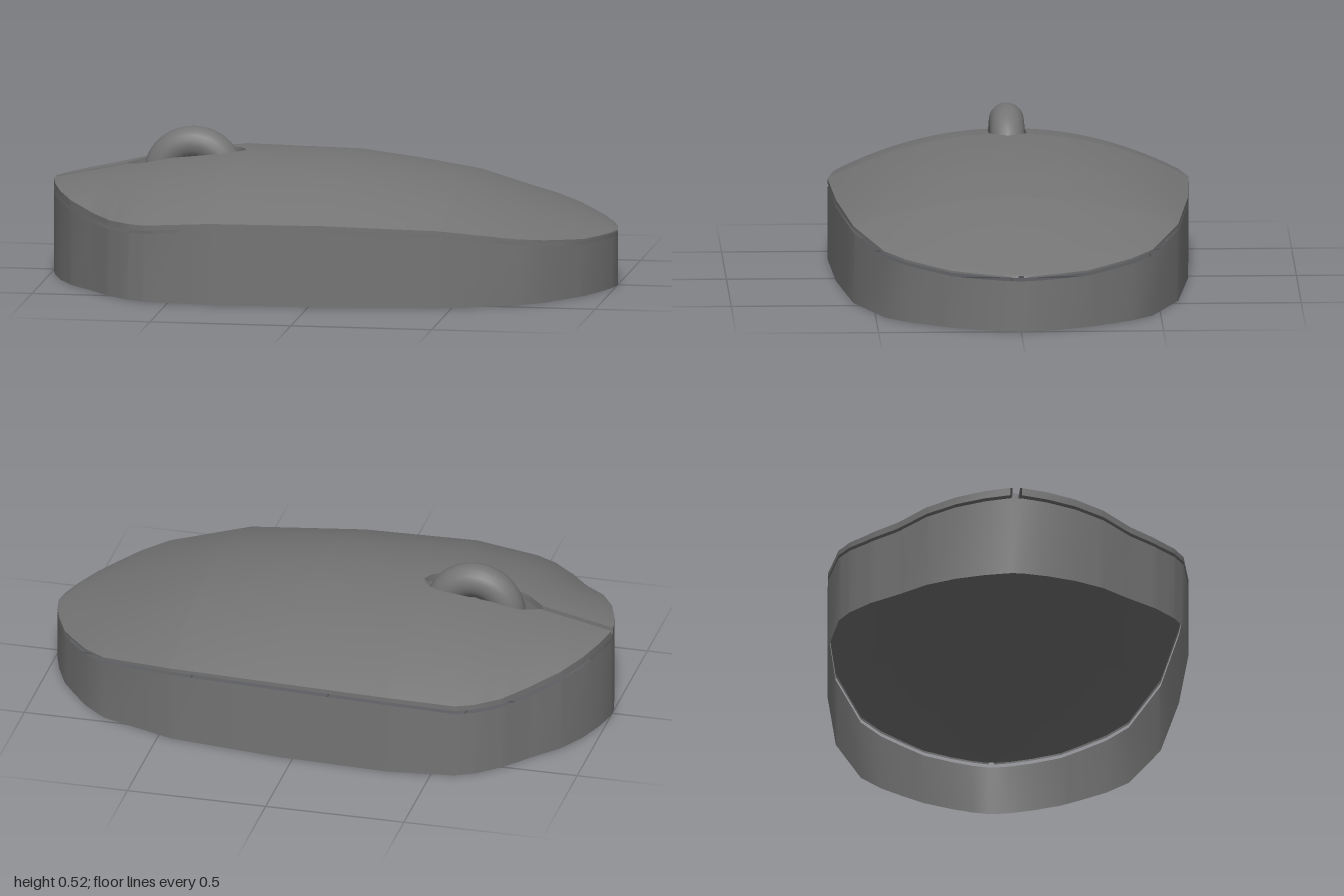
import * as THREE from 'three';
import { toCreasedNormals } from 'three/addons/utils/BufferGeometryUtils.js';

// Half width of the body along x
const OUTLINE = [[-1, 0.02], [-0.98, 0.11], [-0.945, 0.21], [-0.89, 0.31], [-0.81, 0.4], [-0.73, 0.5], [-0.65, 0.57],
  [-0.58, 0.605], [-0.35, 0.633], [0.05, 0.617], [0.45, 0.57], [0.72, 0.47], [0.805, 0.395], [0.87, 0.31],
  [0.92, 0.24], [0.965, 0.14], [0.99, 0.065], [1, 0.01]];
// Upper rim of the side wall along x
const RIM = [[-1, 0.29], [-0.9, 0.265], [-0.8, 0.243], [-0.72, 0.236], [-0.6, 0.24], [-0.35, 0.26], [0.05, 0.263],
  [0.45, 0.25], [0.72, 0.214], [0.92, 0.184], [1, 0.18]];
// Height of the cover along its middle
const CROWN = [[-1, 0.33], [-0.8, 0.372], [-0.58, 0.42], [-0.35, 0.445], [0.05, 0.438], [0.25, 0.412],
  [0.47, 0.373], [0.72, 0.29], [0.9, 0.232], [1, 0.2]];
// Height of the lip around the cover
const LIP = [[-1, 0.028], [-0.6, 0.018], [0.5, 0.012], [1, 0.006]];
// Half width of the slot and wheel opening
const SLOT = [[-1, 0.013], [-0.745, 0.013], [-0.685, 0.058], [-0.64, 0.066], [-0.385, 0.066], [-0.35, 0.05],
  [-0.33, 0.025], [-0.32, 0], [1, 0]];

// Straight interpolation in a table of [x, value]
function at(table, x) {
  for (let i = 1; i < table.length; i++) {
    const [x0, v0] = table[i - 1], [x1, v1] = table[i];
    if (x <= x1) return v0 + (v1 - v0) * (x - x0) / (x1 - x0);
  }
  return table[table.length - 1][1];
}

// Skin a grid of points, rows[i][j]
function addPatch(out, rows) {
  for (let i = 0; i + 1 < rows.length; i++) {
    for (let j = 0; j + 1 < rows[i].length; j++) {
      const a = rows[i][j], b = rows[i][j + 1], c = rows[i + 1][j], d = rows[i + 1][j + 1];
      out.push(...a, ...b, ...c, ...b, ...d, ...c);
    }
  }
}

function toGeometry(positions, crease) {
  const g = new THREE.BufferGeometry();
  g.setAttribute('position', new THREE.Float32BufferAttribute(positions, 3));
  return toCreasedNormals(g, crease);
}

export function createModel() {
  const model = new THREE.Group();
  model.name = 'computerMouse';
  const grey = new THREE.MeshStandardMaterial({ color: 0x747474, side: THREE.DoubleSide });
  grey.name = 'dark grey plastic';

  const xs = [...new Set([OUTLINE, RIM, CROWN, SLOT].flat().map(p => p[0]))].sort((a, b) => a - b);

  // Side wall, open above and below
  const wall = [];
  const wallRow = (x, side) => {
    const z = side * at(OUTLINE, x);
    return [[x, at(RIM, x), z], [x, 0, z]];
  };
  const loop = [...xs.map(x => wallRow(x, 1)), ...[...xs].reverse().map(x => wallRow(x, -1))];
  loop.push(loop[0]);
  addPatch(wall, loop);
  const base = new THREE.Mesh(toGeometry(wall, 0.5), grey);
  base.name = 'sideWall';
  model.add(base);

  // Domed cover in two halves, with lips turned down at the rim and the slot
  const STEPS = 14;
  const halfRow = (x, side) => {
    const w = at(OUTLINE, x), slot = Math.min(at(SLOT, x), w);
    const low = at(RIM, x) + 0.012, edge = low + at(LIP, x);
    const crown = Math.max(at(CROWN, x), edge);
    const row = [];
    for (let k = 0; k <= STEPS; k++) {
      const z = slot + (w - slot) * k / STEPS;
      row.push([x, edge + (crown - edge) * (1 - Math.pow(z / w, 2.1)), side * z]);
    }
    const inner = row[0];
    row.unshift([x, inner[1] - (slot > 0 ? 0.025 : 0), inner[2]]);
    row.push([x, low, side * w]);
    return side > 0 ? row : row.reverse();
  };
  const shell = [];
  for (const side of [-1, 1]) addPatch(shell, xs.map(x => halfRow(x, side)));
  const cover = new THREE.Mesh(toGeometry(shell, 0.6), grey);
  cover.name = 'cover';
  model.add(cover);

  // Scroll wheel, an arch standing in the opening
  const wheel = new THREE.Mesh(new THREE.TorusGeometry(0.12, 0.061, 20, 28, Math.PI), grey);
  wheel.name = 'scrollWheel';
  wheel.position.set(-0.505, 0.343, 0);
  model.add(wheel);

  return model;
}
